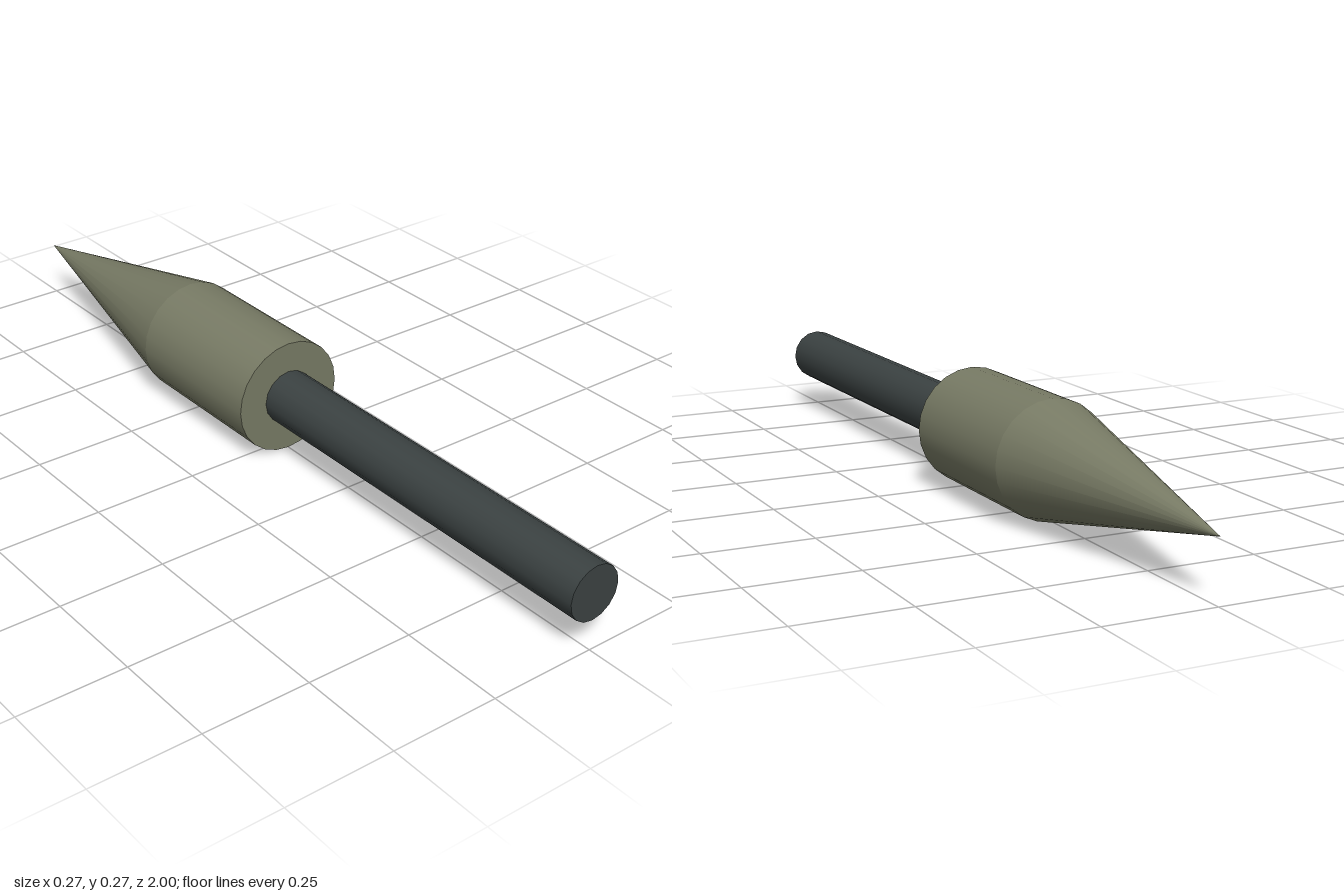
import * as THREE from 'three';

export function createModel() {
  const group = new THREE.Group();
  const olive = new THREE.MeshStandardMaterial({ name: 'olive body', color: 0x787b65 });
  const steel = new THREE.MeshStandardMaterial({ name: 'dark steel', color: 0x3b4242 });
  const radius = 0.135;

  // Round section along z, from zFront to zBack
  function section(name, rFront, rBack, zFront, zBack, sides, material, open = false) {
    const length = zFront - zBack;
    const geometry = new THREE.CylinderGeometry(rFront, rBack, length, sides, 1, open);
    geometry.rotateX(Math.PI / 2);
    const mesh = new THREE.Mesh(geometry, material);
    mesh.name = name;
    mesh.position.set(0, radius, (zFront + zBack) / 2);
    group.add(mesh);
  }

  section('shaft', 0.064, 0.064, 1, 0.02, 16, steel);
  section('body', radius, radius, 0.03, -0.355, 24, olive);
  section('noseCone', radius, 0, -0.355, -1, 24, olive, true);
  return group;
}
